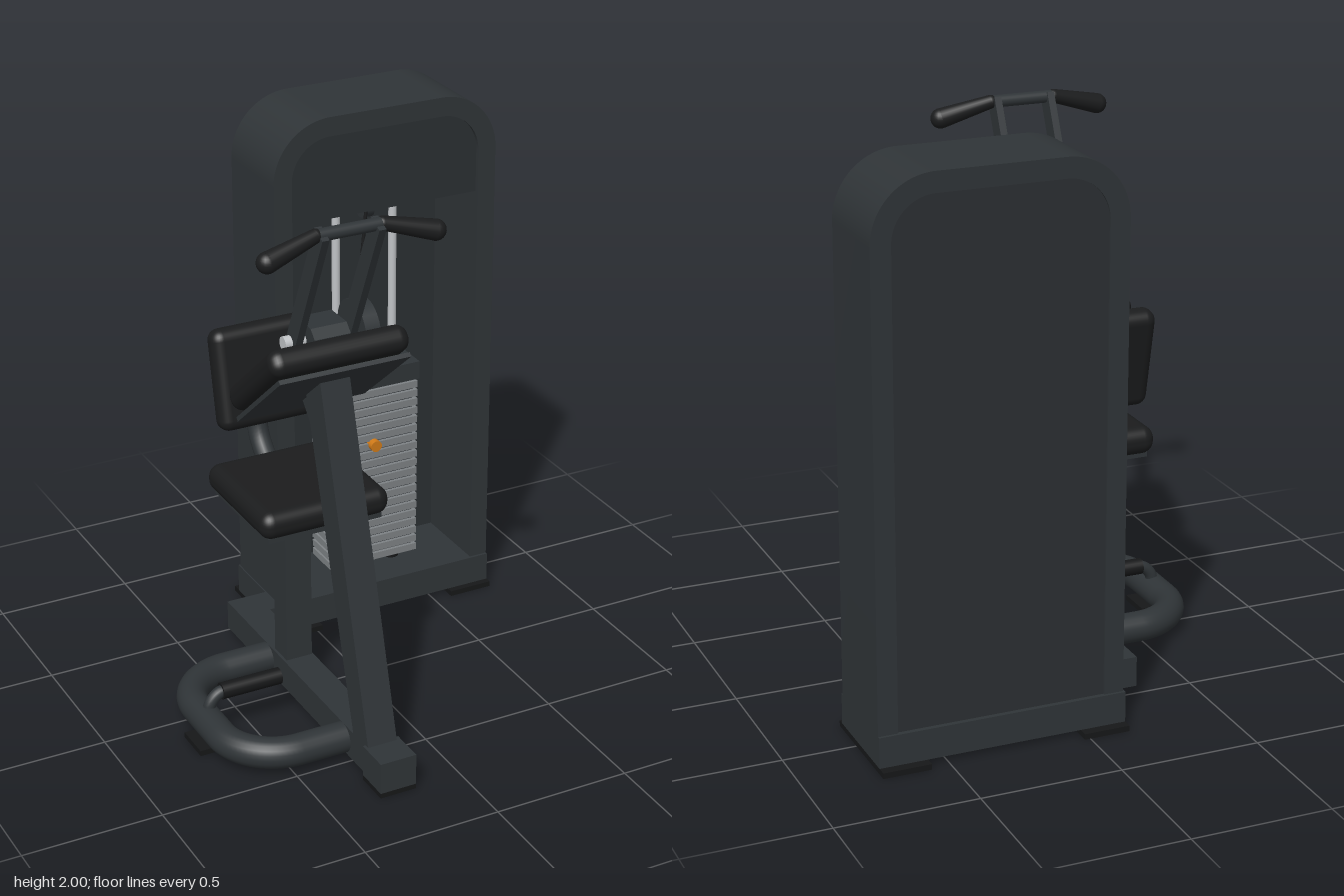
import * as THREE from 'three';
import { toCreasedNormals } from 'three/addons/utils/BufferGeometryUtils.js';
import { RoundedBoxGeometry } from 'three/addons/geometries/RoundedBoxGeometry.js';

const mat = (color) => new THREE.MeshStandardMaterial({ color });
const V = (x, y, z) => new THREE.Vector3(x, y, z);

export function createModel() {
  const model = new THREE.Group();
  const frame = mat(0x2f3437), panel = mat(0x2b2f32), pad = mat(0x1b1c1d), rubber = mat(0x161718);
  const steel = mat(0xbfc2c5), plate = mat(0x7d8184), orange = mat(0xd07a18);

  const add = (name, geometry, material, parent = model) => {
    const mesh = new THREE.Mesh(geometry, material);
    mesh.name = name;
    parent.add(mesh);
    return mesh;
  };
  // Box given by its limits on each axis
  const box = (name, [x0, x1], [y0, y1], [z0, z1], material, parent) => {
    const mesh = add(name, new THREE.BoxGeometry(x1 - x0, y1 - y0, z1 - z0), material, parent);
    mesh.position.set((x0 + x1) / 2, (y0 + y1) / 2, (z0 + z1) / 2);
    return mesh;
  };
  // Round bar between two points, optionally tapered
  const bar = (name, a, b, r, material, parent, r2 = r) => {
    const mesh = add(name, new THREE.CylinderGeometry(r2, r, a.distanceTo(b), 24), material, parent);
    mesh.position.copy(a).lerp(b, 0.5);
    mesh.quaternion.setFromUnitVectors(V(0, 1, 0), b.clone().sub(a).normalize());
    return mesh;
  };
  // Side profile of [z, y] points, extruded from x0 to x1
  const profile = (name, points, x0, x1, material) => {
    const shape = new THREE.Shape(points.map(([z, y]) => new THREE.Vector2(z, y)));
    const g = new THREE.ExtrudeGeometry(shape, { depth: x1 - x0, bevelEnabled: false });
    return add(name, g.rotateY(-Math.PI / 2).translate(x1, 0, 0), material);
  };
  // Upholstered cushion, tilted about x
  const cushion = (name, size, pos, tilt, r) => {
    const mesh = add(name, new RoundedBoxGeometry(...size, 4, r), pad);
    mesh.position.set(...pos);
    mesh.rotation.x = tilt;
    return mesh;
  };
  // Outline with two rounded upper corners
  const arch = (path, x0, x1, y0, y1, r) => {
    path.moveTo(x0, y0);
    path.lineTo(x1, y0);
    path.lineTo(x1, y1 - r);
    path.absarc(x1 - r, y1 - r, r, 0, Math.PI / 2, false);
    path.lineTo(x0 + r, y1);
    path.absarc(x0 + r, y1 - r, r, Math.PI / 2, Math.PI, false);
    path.closePath();
    return path;
  };
  const extrudeArch = (name, shape, z0, z1, material, parent) => {
    const g = new THREE.ExtrudeGeometry(shape, { depth: z1 - z0, bevelEnabled: false, curveSegments: 16 });
    return add(name, toCreasedNormals(g.translate(0, 0, z0), 0.6), material, parent);
  };

  // Weight cabinet: arched shell, back panel, upper cover, base and feet
  const cabinet = new THREE.Group();
  cabinet.name = 'weightCabinet';
  model.add(cabinet);
  const shell = arch(new THREE.Shape(), -0.14, 0.74, 0.12, 2, 0.22);
  shell.holes.push(arch(new THREE.Path(), -0.07, 0.67, 0.125, 1.93, 0.15));
  extrudeArch('cabinetShell', shell, -0.71, -0.37, frame, cabinet);
  extrudeArch('backPanel', arch(new THREE.Shape(), -0.07, 0.67, 0.13, 1.93, 0.15), -0.703, -0.68, panel, cabinet);
  extrudeArch('upperCover', arch(new THREE.Shape(), -0.07, 0.67, 1.62, 1.93, 0.15), -0.68, -0.385, panel, cabinet);
  box('cabinetBase', [-0.145, 0.74], [0.02, 0.13], [-0.72, -0.36], frame, cabinet);
  for (const [x0, x1] of [[-0.145, 0.02], [0.57, 0.74]])
    box('cabinetFoot', [x0, x1], [0, 0.02], [-0.755, -0.335], rubber, cabinet);

  // Weight stack on two guide rods
  const stack = new THREE.Group();
  stack.name = 'weightStack';
  model.add(stack);
  const zs = -0.53, count = 20, pitch = 0.72 / count;
  for (let i = 0; i < count; i++) {
    const y = 0.17 + i * pitch;
    box('weightPlate', [0.115, 0.48], [y, y + pitch * 0.74], [zs - 0.075, zs + 0.075], plate, stack);
  }
  box('stackCore', [0.13, 0.465], [0.17, 0.89], [zs - 0.062, zs + 0.062], frame, stack);
  box('topPlate', [0.112, 0.485], [0.89, 0.96], [zs - 0.08, zs + 0.08], frame, stack);
  box('liftBlock', [0.265, 0.33], [0.96, 1.02], [zs - 0.035, zs + 0.035], frame, stack);
  for (const x of [0.18, 0.41]) {
    bar('guideRod', V(x, 0.13, zs), V(x, 1.62, zs), 0.015, steel, stack);
    bar('lowerBumper', V(x, 0.13, zs), V(x, 0.175, zs), 0.03, rubber, stack);
    bar('upperCollar', V(x, 1.58, zs), V(x, 1.62, zs), 0.03, frame, stack);
  }
  bar('selectorPin', V(0.296, 0.66, zs), V(0.296, 0.66, zs + 0.1), 0.022, orange, stack);

  // Cable and its pulley
  bar('cable', V(-0.09, 1.375, 0.13), V(0.295, 1.605, -0.51), 0.006, rubber);
  bar('cablePulley', V(0.278, 1.585, zs), V(0.315, 1.585, zs), 0.045, frame);

  // Floor frame
  box('floorRail', [-0.3, -0.185], [0.02, 0.13], [-0.37, 0.745], frame);
  box('railLink', [-0.3, -0.14], [0.02, 0.13], [-0.485, -0.36], frame);
  box('railEndCap', [-0.31, -0.175], [0.018, 0.134], [0.62, 0.75], frame);
  box('frontFoot', [-0.31, -0.175], [0, 0.018], [0.62, 0.75], rubber);
  box('sideFoot', [-0.74, -0.605], [0, 0.02], [0.1, 0.235], rubber);

  // Curved side tube with a foot peg
  const loop = new THREE.CurvePath();
  const k = 0.11, y = 0.075, xo = -0.67, xi = -0.47, zb = -0.145, zf = 0.455;
  loop.add(new THREE.LineCurve3(V(-0.25, y, zb), V(xi, y, zb)));
  loop.add(new THREE.CubicBezierCurve3(V(xi, y, zb), V(xi - k, y, zb), V(xo, y, zb + 0.2 - k), V(xo, y, zb + 0.2)));
  loop.add(new THREE.LineCurve3(V(xo, y, zb + 0.2), V(xo, y, zf - 0.2)));
  loop.add(new THREE.CubicBezierCurve3(V(xo, y, zf - 0.2), V(xo, y, zf - 0.2 + k), V(xi - k, y, zf), V(xi, y, zf)));
  loop.add(new THREE.LineCurve3(V(xi, y, zf), V(-0.25, y, zf)));
  add('sideTube', new THREE.TubeGeometry(loop, 80, 0.055, 20), frame);
  const pegBend = new THREE.CatmullRomCurve3([V(-0.665, 0.09, 0.14), V(-0.655, 0.14, 0.14), V(-0.62, 0.172, 0.14), V(-0.56, 0.175, 0.14)]);
  add('pegBend', new THREE.TubeGeometry(pegBend, 16, 0.022, 16), frame);
  bar('footPeg', V(-0.615, 0.175, 0.14), V(-0.39, 0.175, 0.14), 0.03, rubber);

  // Seat, its post and backrest
  box('seatPost', [-0.29, -0.19], [0.13, 0.757], [-0.1, -0.005], frame);
  box('seatPlate', [-0.46, -0.03], [0.753, 0.772], [-0.21, 0.22], frame);
  cushion('seat', [0.485, 0.1, 0.48], [-0.243, 0.815, 0.002], 0, 0.045);
  const backCurve = new THREE.CatmullRomCurve3([V(-0.245, 0.75, -0.13), V(-0.245, 0.81, -0.22),
    V(-0.245, 0.89, -0.297), V(-0.245, 1.0, -0.325), V(-0.245, 1.23, -0.335)]);
  add('backrestTube', new THREE.TubeGeometry(backCurve, 32, 0.037, 16), frame);
  add('backrestTubeCap', new THREE.CircleGeometry(0.037, 16).rotateX(-Math.PI / 2), frame).position.set(-0.245, 1.23, -0.335);
  cushion('backrest', [0.37, 0.365, 0.09], [-0.245, 1.15, -0.268], -0.2, 0.04);

  // Leaning upright with gusset, arm pad and support plate
  profile('upright', [[0.64, 0.13], [0.53, 0.13], [0.19, 1.275], [0.295, 1.36]], -0.3, -0.19, frame);
  profile('uprightGusset', [[0.255, 1.08], [0.235, 1.11], [0.13, 1.225], [0.22, 1.3]], -0.285, -0.205, frame);
  const tilt = -0.69;
  const support = add('armPadPlate', new THREE.BoxGeometry(0.48, 0.016, 0.43), frame);
  support.position.set(-0.245, 1.288, 0.207);
  support.rotation.x = tilt;
  cushion('armPad', [0.51, 0.095, 0.455], [-0.245, 1.346, 0.175], tilt, 0.042);

  // Pivot block, shaft and cam
  profile('pivotBlock', [[0.11, 1.38], [0.28, 1.42], [0.28, 1.5], [0.25, 1.53], [0.14, 1.53], [0.11, 1.5]], -0.31, -0.178, frame);
  bar('pivotShaft', V(-0.385, 1.47, 0.195), V(-0.1, 1.47, 0.195), 0.025, steel);
  bar('cam', V(-0.13, 1.47, 0.195), V(-0.075, 1.47, 0.195), 0.105, frame);

  // Swinging press arm with handlebar
  const arm = new THREE.Group();
  arm.name = 'pressArm';
  model.add(arm);
  const xc = -0.245;
  bar('handleBar', V(xc - 0.13, 1.92, 0.4), V(xc + 0.13, 1.92, 0.4), 0.022, frame, arm);
  for (const s of [-1, 1]) {
    const lever = add('armLever', new THREE.BoxGeometry(0.026, 0.52, 0.065), frame, arm);
    lever.position.set(xc + s * 0.101, 1.69, 0.3);
    lever.rotation.x = 0.43;
    const inner = V(xc + s * 0.12, 1.92, 0.4), outer = V(xc + s * 0.3, 1.872, 0.423);
    bar('handGrip', inner, outer, 0.024, pad, arm, 0.036);
    add('gripEnd', new THREE.SphereGeometry(0.036, 20, 14), pad, arm).position.copy(outer);
    add('gripStart', new THREE.SphereGeometry(0.024, 20, 14), pad, arm).position.copy(inner);
  }
  return model;
}
